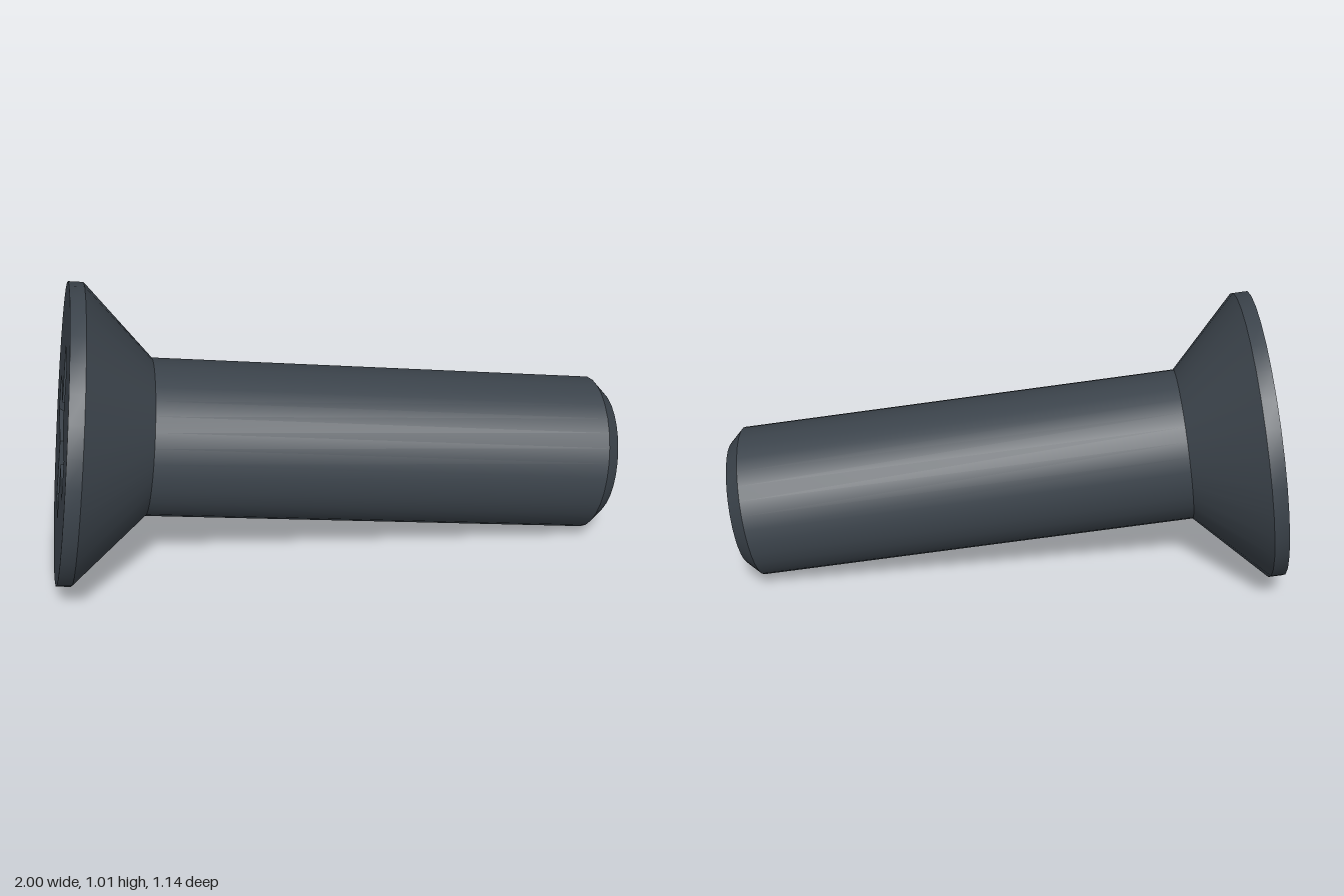
import * as THREE from 'three';
import { toCreasedNormals } from 'three/addons/utils/BufferGeometryUtils.js';

const SIDES = 32;
const HEAD_R = 0.507, SHAFT_R = 0.267, TIP_R = 0.22, LENGTH = 1.879;
const ARM = 0.295, HALF = 0.075, DEPTH = 0.18; // cross recess

// surface of revolution with sharp edges between the profile segments
function turned(name, profile, material) {
  const points = profile.map(([r, y]) => new THREE.Vector2(r, y));
  const mesh = new THREE.Mesh(toCreasedNormals(new THREE.LatheGeometry(points, SIDES), 0.5), material);
  mesh.name = name;
  return mesh;
}

// flat disc with a cross-shaped opening
function faceGeometry() {
  const disc = new THREE.Shape();
  for (let i = 0; i < SIDES; i++) {
    const a = (i / SIDES) * Math.PI * 2;
    const x = HEAD_R * Math.cos(a), y = HEAD_R * Math.sin(a);
    i ? disc.lineTo(x, y) : disc.moveTo(x, y);
  }
  const cross = [];
  for (let i = 0; i < 4; i++) {
    for (const [x, y] of [[HALF, -HALF], [ARM, -HALF], [ARM, HALF]]) {
      cross.push(new THREE.Vector2(x, y).rotateAround(new THREE.Vector2(), i * Math.PI / 2));
    }
  }
  disc.holes.push(new THREE.Path(cross));
  return new THREE.ShapeGeometry(disc).rotateX(Math.PI / 2);
}

// one arm of the recess: sloping ramp, two side walls, a quarter of the floor
function recessArmGeometry() {
  const a = [ARM, 0, -HALF], b = [ARM, 0, HALF];
  const c = [HALF, DEPTH, HALF], d = [HALF, DEPTH, -HALF];
  const e = [HALF, 0, HALF], f = [HALF, 0, -HALF], o = [0, DEPTH, 0];
  const corners = [a, b, c, a, c, d, b, e, c, a, d, f, o, d, c].flat();
  const geometry = new THREE.BufferGeometry();
  geometry.setAttribute('position', new THREE.Float32BufferAttribute(corners, 3));
  geometry.computeVertexNormals();
  return geometry;
}

export function createModel() {
  const steel = new THREE.MeshStandardMaterial({ color: 0x3c444c });
  steel.name = 'darkSteel';

  // screw built along +y, from the head face to the tip
  const screw = new THREE.Group();
  screw.name = 'screw';
  screw.add(turned('head', [[HEAD_R, 0], [HEAD_R, 0.05], [SHAFT_R, 0.287]], steel));
  screw.add(turned('shaft', [[SHAFT_R, 0.287], [SHAFT_R, LENGTH - 0.05], [TIP_R, LENGTH], [0, LENGTH]], steel));

  const face = new THREE.Mesh(faceGeometry(), steel);
  face.name = 'headFace';
  screw.add(face);

  const recess = new THREE.Group();
  recess.name = 'crossRecess';
  const armGeometry = recessArmGeometry();
  for (let i = 0; i < 4; i++) {
    const arm = new THREE.Mesh(armGeometry, steel);
    arm.name = 'recessArm';
    arm.rotation.y = i * Math.PI / 2;
    recess.add(arm);
  }
  screw.add(recess);

  // lay the screw down so head rim and tip both rest on the ground
  const axis = new THREE.Vector3(0.969, -0.133, 0.207).normalize();
  const side = new THREE.Vector3(0, 1, 0).cross(axis).normalize();
  const up = axis.clone().cross(side);
  screw.quaternion.setFromRotationMatrix(new THREE.Matrix4().makeBasis(up, axis, up.clone().cross(axis)));
  screw.position.set(-0.875, 0.507, -0.071);

  const model = new THREE.Group();
  model.name = 'countersunkScrew';
  model.add(screw);
  return model;
}
